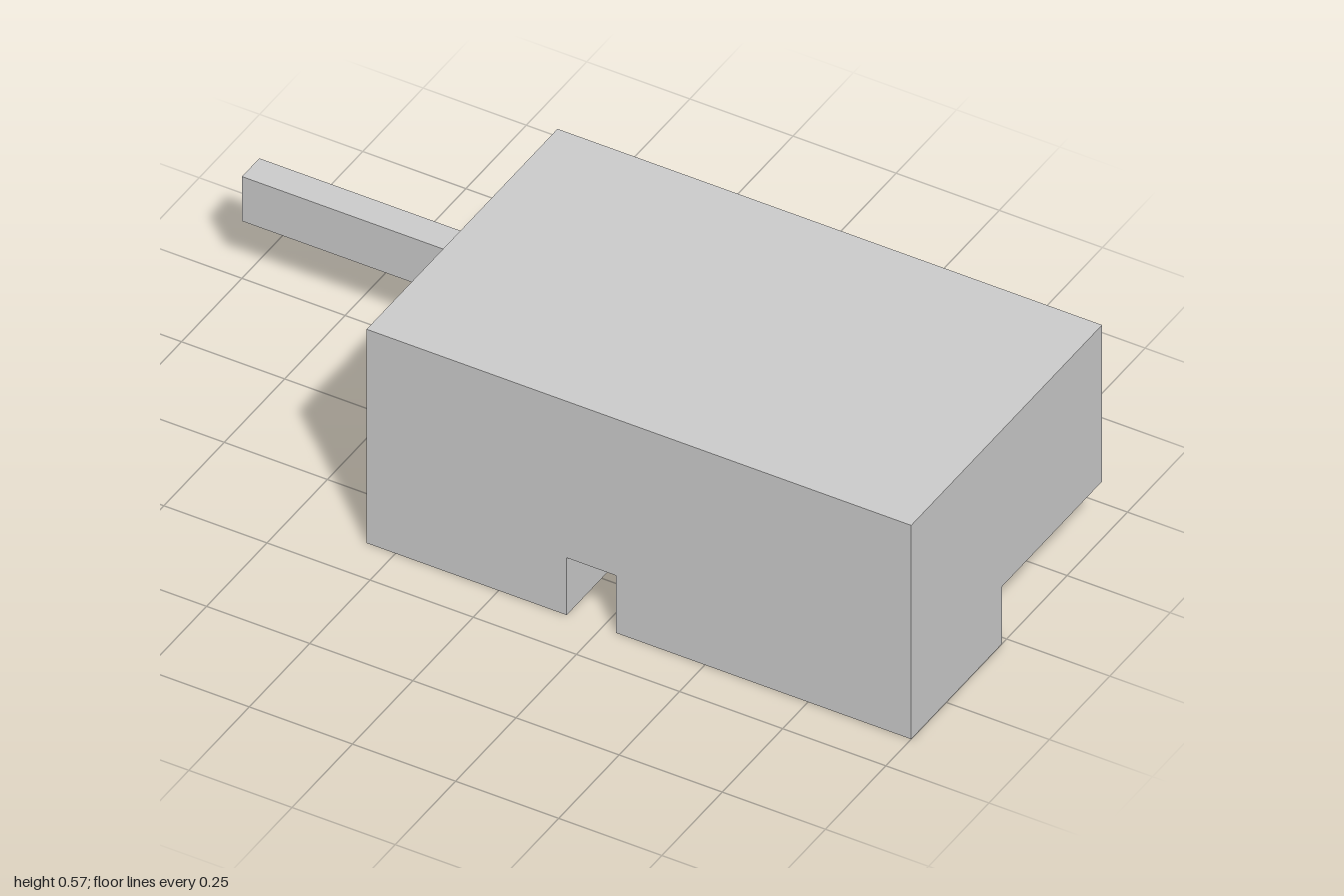
import * as THREE from 'three';

const material = new THREE.MeshStandardMaterial({ color: 0xcccccc, flatShading: true });

// Box given by its lower and upper corners
function box(name, [x0, y0, z0], [x1, y1, z1]) {
  const mesh = new THREE.Mesh(new THREE.BoxGeometry(x1 - x0, y1 - y0, z1 - z0), material);
  mesh.position.set((x0 + x1) / 2, (y0 + y1) / 2, (z0 + z1) / 2);
  mesh.name = name;
  return mesh;
}

// Upright prism from a floor plan of [x, z] corners
function prism(name, plan, height) {
  const shape = new THREE.Shape(plan.map(([x, z]) => new THREE.Vector2(x, -z)));
  const geometry = new THREE.ExtrudeGeometry(shape, { depth: height, bevelEnabled: false });
  geometry.rotateX(-Math.PI / 2);
  const mesh = new THREE.Mesh(geometry, material);
  mesh.name = name;
  return mesh;
}

export function createModel() {
  const group = new THREE.Group();
  const baseHeight = 0.152, top = 0.567, right = -0.32, depth = 0.395;

  // Stepped ground floor with a doorway recess in the front and a tab at the back
  group.add(prism('groundFloor', [
    [right, depth], [0.165, depth], [0.165, 0.095], [0.285, 0.095], [0.285, depth], [1, depth],
    [1, 0.02], [0.815, 0.02], [0.815, -0.093], [0.325, -0.093], [0.325, -depth],
    [0.02, -depth], [0.02, -0.057], [right, -0.057],
  ], baseHeight));

  // Large overhanging upper block
  group.add(box('upperBlock', [right, baseHeight, -depth], [1, top, depth]));

  // Long bar projecting from the right side
  group.add(box('sideBar', [-1, baseHeight, -0.322], [right, 0.27, -0.25]));

  return group;
}
